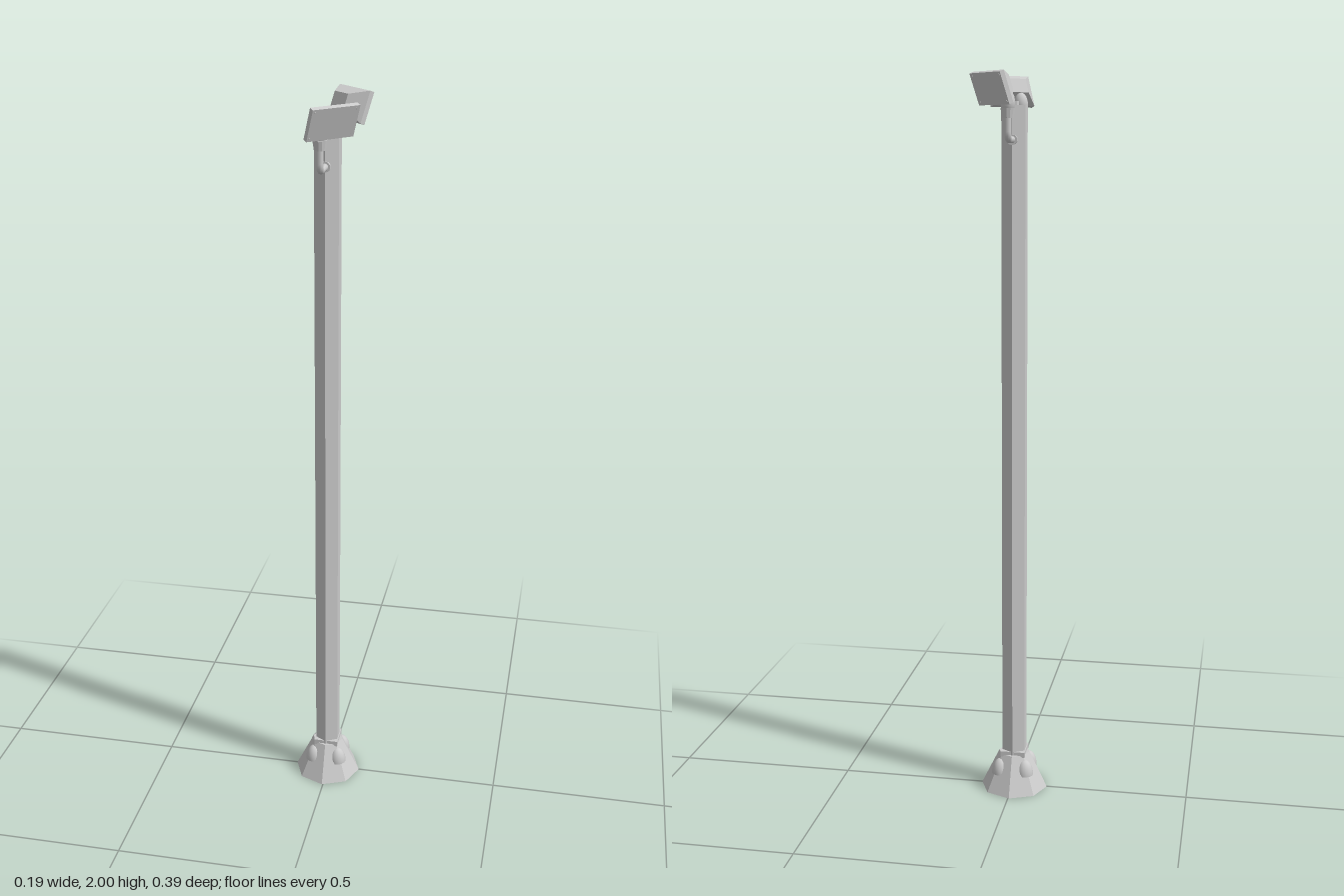
import * as THREE from 'three';

const flat = new THREE.MeshStandardMaterial({ color: 0xcccccc, flatShading: true });
const smooth = new THREE.MeshStandardMaterial({ color: 0xcccccc });

function part(parent, name, geometry, material, x = 0, y = 0, z = 0) {
  const mesh = new THREE.Mesh(geometry, material);
  mesh.name = name;
  mesh.position.set(x, y, z);
  parent.add(mesh);
  return mesh;
}

// Box whose back (-z) face is shrunk to a smaller rectangle
function taperedBox(w, h, d, backW, backH) {
  const g = new THREE.BoxGeometry(w, h, d);
  const p = g.attributes.position;
  for (let i = 0; i < p.count; i++) {
    if (p.getZ(i) < 0) p.setXY(i, p.getX(i) * backW / w, p.getY(i) * backH / h);
  }
  return g;
}

// Floodlight head, with the centre of its front face at the origin, facing +z
function createHead() {
  const head = new THREE.Group();
  head.name = 'lampHead';
  const w = 0.136, h = 0.084, rim = 0.013, depth = 0.036;
  part(head, 'lampRim', new THREE.BoxGeometry(w, h, rim), flat, 0, 0, -rim / 2);
  part(head, 'lampHousing', taperedBox(w, h, depth, 0.06, 0.038), flat, 0, 0, -rim - depth / 2);
  for (const sx of [-1, 1]) for (const sy of [-1, 1]) {
    const screw = part(head, 'lampScrew', new THREE.CylinderGeometry(0.003, 0.003, 0.002, 8), flat,
      sx * 0.06, sy * 0.034, 0);
    screw.rotation.x = Math.PI / 2;
  }
  return head;
}

// Bent arm, swivel joint and lamp for one side (s = +1 front, -1 back)
function createLamp(s) {
  const lamp = new THREE.Group();
  lamp.name = s > 0 ? 'frontLamp' : 'backLamp';

  const path = new THREE.CurvePath();
  const v = (y, z) => new THREE.Vector3(0, y, s * z);
  path.add(new THREE.LineCurve3(v(1.832, 0.02), v(1.832, 0.08)));
  path.add(new THREE.QuadraticBezierCurve3(v(1.832, 0.08), v(1.832, 0.1), v(1.852, 0.1)));
  path.add(new THREE.LineCurve3(v(1.852, 0.1), v(1.9, 0.1)));
  part(lamp, 'arm', new THREE.TubeGeometry(path, 32, 0.009, 10), smooth);

  const flange = part(lamp, 'armFlange', new THREE.CylinderGeometry(0.014, 0.014, 0.008, 10), flat, 0, 1.832, s * 0.035);
  flange.rotation.x = Math.PI / 2;

  part(lamp, 'jointSocket', new THREE.CylinderGeometry(0.019, 0.015, 0.025, 12), flat, 0, 1.898, s * 0.1);
  const joint = part(lamp, 'swivelJoint', new THREE.SphereGeometry(0.019, 16, 12), smooth, 0, 1.925, s * 0.1);
  joint.scale.y = 1.6;

  // Turned 45 degrees outward and tipped down
  const head = createHead();
  head.position.set(0.041, 1.957, s * 0.137);
  head.rotation.set(0.36, s > 0 ? Math.PI / 4 : 3 * Math.PI / 4, 0, 'YXZ');
  lamp.add(head);
  return lamp;
}

export function createModel() {
  const model = new THREE.Group();
  model.name = 'floodlightPole';
  model.position.x = -0.003;

  // Octagonal foot with four domes and a square collar
  part(model, 'foot', new THREE.CylinderGeometry(0.044, 0.095, 0.105, 8), flat, 0, 0.0525, 0);
  for (const sx of [-1, 1]) for (const sz of [-1, 1]) {
    const dome = new THREE.SphereGeometry(0.025, 16, 8, 0, Math.PI * 2, 0, Math.PI / 2);
    part(model, 'footDome', dome, smooth, sx * 0.035, 0.05, sz * 0.033).scale.y = 1.7;
    const base = part(model, 'footDomeBase', new THREE.CircleGeometry(0.025, 16), flat, sx * 0.035, 0.05, sz * 0.033);
    base.rotation.x = Math.PI / 2;
  }
  part(model, 'footCollar', new THREE.BoxGeometry(0.07, 0.016, 0.07), flat, 0, 0.107, 0);

  // Hexagonal pole and its top plug
  part(model, 'pole', new THREE.CylinderGeometry(0.037, 0.037, 1.82, 6), flat, 0, 1.01, 0);
  part(model, 'topPlug', new THREE.CylinderGeometry(0.012, 0.012, 0.012, 8), flat, 0, 1.925, 0);

  for (const s of [1, -1]) model.add(createLamp(s));

  const root = new THREE.Group();
  root.add(model);
  return root;
}
